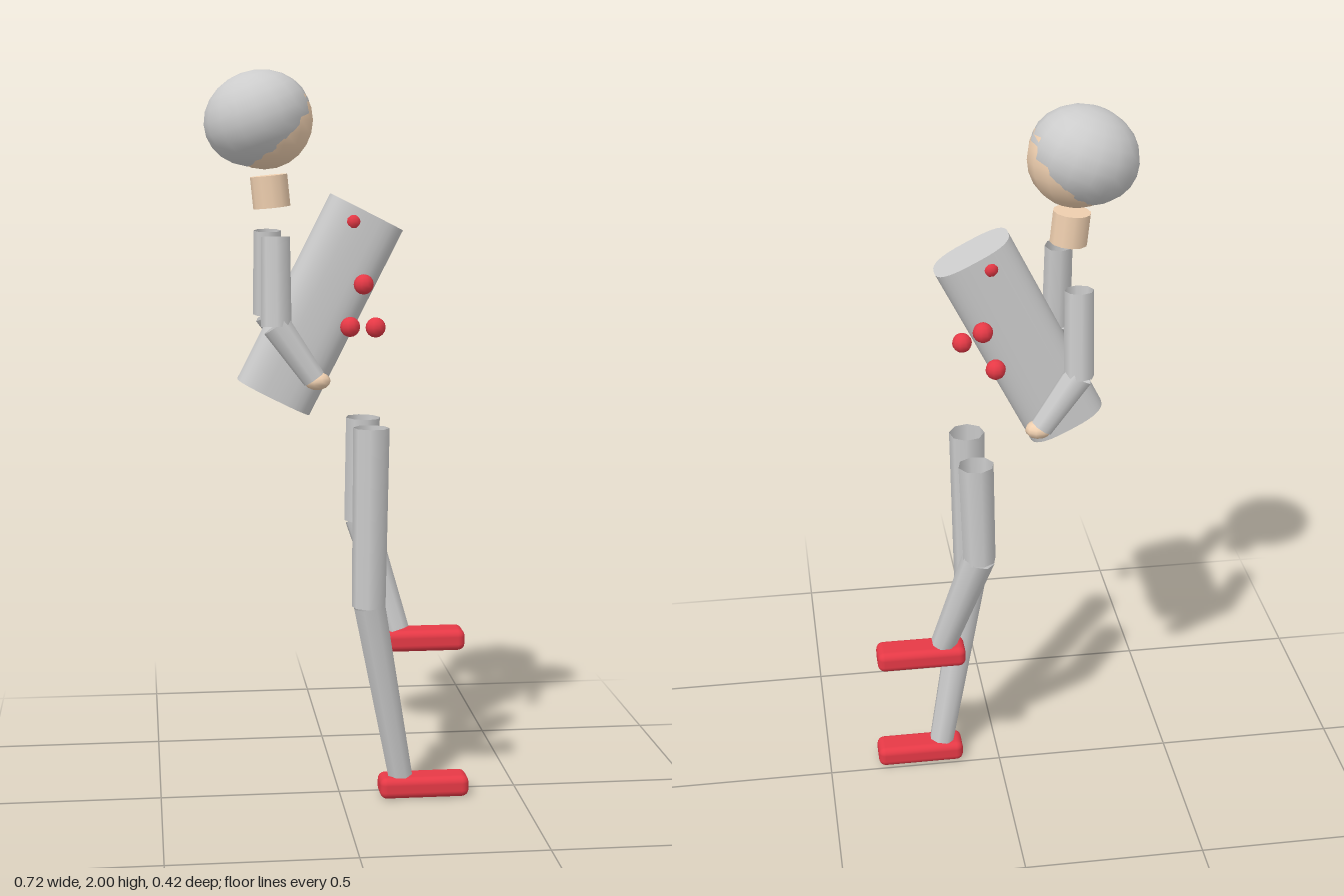
import * as THREE from 'three';
import { RoundedBoxGeometry } from 'three/addons/geometries/RoundedBoxGeometry.js';

const grey = new THREE.MeshStandardMaterial({ color: 0xcccccc, side: THREE.DoubleSide });
const skin = new THREE.MeshStandardMaterial({ color: 0xf0d0b0 });
const red = new THREE.MeshStandardMaterial({ color: 0xe63946 });

export function createModel() {
  const model = new THREE.Group();
  model.name = 'figure';

  const add = (name, geometry, material, position) => {
    const mesh = new THREE.Mesh(geometry, material);
    mesh.name = name;
    mesh.position.set(...position);
    model.add(mesh);
    return mesh;
  };

  // Open tapered tube between two joints
  const limb = (name, from, to, r0, r1) => {
    const a = new THREE.Vector3(...from), b = new THREE.Vector3(...to);
    const dir = b.clone().sub(a);
    const mid = a.clone().add(b).multiplyScalar(0.5);
    const mesh = add(name, new THREE.CylinderGeometry(r1, r0, dir.length(), 8, 1, true), grey, mid.toArray());
    mesh.quaternion.setFromUnitVectors(new THREE.Vector3(0, 1, 0), dir.normalize());
  };

  // Head, tilted hair cap and neck
  const head = add('head', new THREE.SphereGeometry(0.13, 16, 12), skin, [-0.2, 1.868, 0]);
  head.scale.z = 0.96;
  const hair = add('hair', new THREE.SphereGeometry(1, 16, 12), grey, [-0.218, 1.873, 0]);
  hair.scale.set(0.145, 0.125, 0.141);
  hair.rotation.z = 0.35;
  add('neck', new THREE.CylinderGeometry(0.05, 0.05, 0.085, 12), skin, [-0.185, 1.68, 0]).rotation.z = 0.1;

  // Leaning torso: cylinder reshaped to a rounded-box section
  const torsoGeometry = new THREE.CylinderGeometry(1, 1, 0.558, 32);
  const p = torsoGeometry.attributes.position;
  const soften = (v) => Math.sign(v) * Math.abs(v) ** 0.7;
  for (let i = 0; i < p.count; i++) {
    p.setX(i, 0.109 * soften(p.getX(i)));
    p.setZ(i, 0.075 * soften(p.getZ(i)));
  }
  const caps = torsoGeometry.attributes.normal.clone();
  torsoGeometry.computeVertexNormals();
  // keep the seam smooth
  const n = torsoGeometry.attributes.normal;
  for (let i = 0; i < n.count; i++) {
    if (Math.abs(caps.getY(i)) < 0.5 && Math.abs(p.getX(i)) < 1e-6) n.setXYZ(i, 0, 0, Math.sign(p.getZ(i)));
  }
  add('torso', torsoGeometry, grey, [-0.053, 1.376, 0]).rotation.z = -0.472;

  // Buttons on both flanks
  const buttons = [
    [0.032, 1.602, 0.06, 0.023], [0.056, 1.437, 0.09, 0.027], [0.021, 1.323, 0.08, 0.027],
    [0.087, 1.323, 0.1, 0.027],
    [0.032, 1.602, -0.06, 0.023], [0.056, 1.437, -0.09, 0.027], [0.021, 1.323, -0.078, 0.027],
  ];
  for (const [x, y, z, r] of buttons) add('button', new THREE.SphereGeometry(r, 10, 8), red, [x, y, z]);

  // Arms
  for (const s of [1, -1]) {
    limb('upperArm', [-0.183, 1.568, s * 0.153], [-0.183, 1.335, s * 0.172], 0.038, 0.04);
    limb('forearm', [-0.183, 1.338, s * 0.172], [-0.085, 1.197, s * 0.18], 0.039, 0.031);
    const hand = add('hand', new THREE.SphereGeometry(0.032, 10, 8), skin, [-0.077, 1.192, s * 0.18]);
    hand.scale.set(1.1, 0.75, 0.95);
  }

  // Legs: one standing, one raised
  const legs = [
    { s: 1, knee: 0.56, ankle: 0.06, foot: 0.03 },
    { s: -1, knee: 0.76, ankle: 0.455, foot: 0.427 },
  ];
  for (const { s, knee, ankle, foot } of legs) {
    limb('thigh', [0.077, 1.052, s * 0.096], [0.07, knee, s * 0.102], 0.049, 0.046);
    limb('shin', [0.072, knee + 0.005, s * 0.102], [0.167, ankle, s * 0.043], 0.046, 0.036);
    add('foot', new RoundedBoxGeometry(0.25, 0.06, 0.088, 3, 0.02), red, [0.232, foot, s * 0.045]);
  }

  return model;
}
